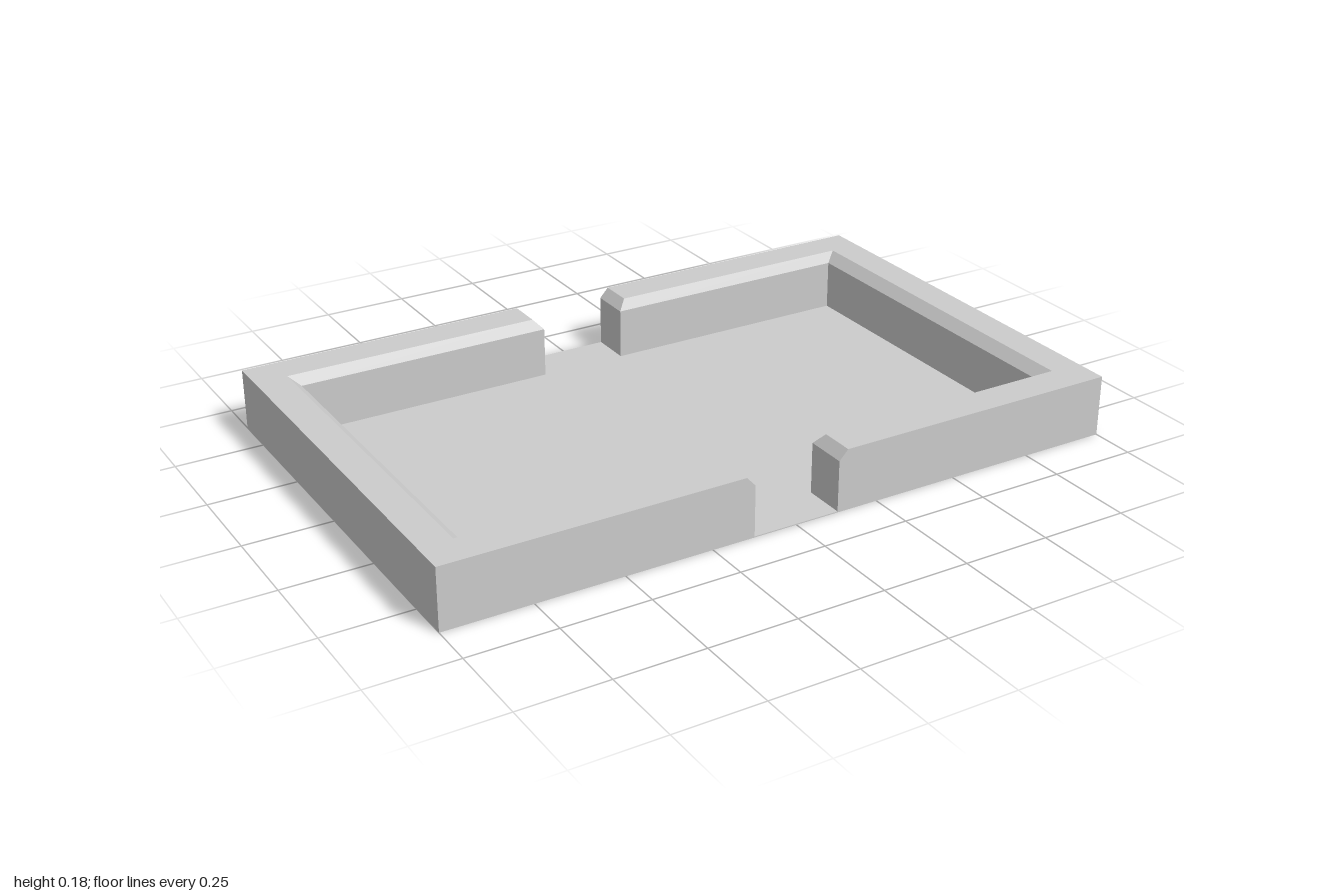
import * as THREE from 'three';

const FLOOR = 0.003, SHOULDER = 0.148, TOP = 0.176;
const X = 1, Z = 0.623;

// C-shaped outline of one half of the wall, counter-clockwise from above
const outline = (gapX, innerX, innerZ) => [
  [gapX, Z], [X, Z], [X, -Z], [gapX, -Z],
  [gapX, -innerZ], [innerX, -innerZ], [innerX, innerZ], [gapX, innerZ],
];

// Wall lofted through three outlines; the inner and gap edges are chamfered
function wallGeometry() {
  const lower = outline(0.127, 0.876, 0.502);
  const upper = outline(0.153, 0.907, 0.524);
  const rings = [[lower, FLOOR], [lower, SHOULDER], [upper, TOP]]
    .map(([pts, y]) => pts.map(([x, z]) => new THREE.Vector3(x, y, z)));
  const verts = [];
  for (let r = 0; r < 2; r++) {
    const a = rings[r], b = rings[r + 1];
    for (let i = 0; i < a.length; i++) {
      const j = (i + 1) % a.length;
      verts.push(a[i], a[j], b[j], a[i], b[j], b[i]);
    }
  }
  // Flat top
  const flat = upper.map(([x, z]) => new THREE.Vector2(x, -z));
  for (const tri of THREE.ShapeUtils.triangulateShape(flat, [])) {
    verts.push(...tri.map((i) => rings[2][i]));
  }
  const geometry = new THREE.BufferGeometry().setFromPoints(verts);
  geometry.computeVertexNormals();
  return geometry;
}

export function createModel() {
  const group = new THREE.Group();
  group.name = 'walledTray';
  const grey = new THREE.MeshStandardMaterial({ color: 0xcccccc });
  grey.name = 'light grey';

  // Thin floor plate
  const floor = new THREE.Mesh(new THREE.BoxGeometry(2 * X, FLOOR, 2 * Z), grey);
  floor.position.y = FLOOR / 2;
  floor.name = 'floor';
  group.add(floor);

  // Two wall halves, with a gap at front and back
  const geometry = wallGeometry();
  ['leftWall', 'rightWall'].forEach((name, i) => {
    const wall = new THREE.Mesh(geometry, grey);
    wall.rotation.y = i * Math.PI;
    wall.name = name;
    group.add(wall);
  });
  return group;
}
